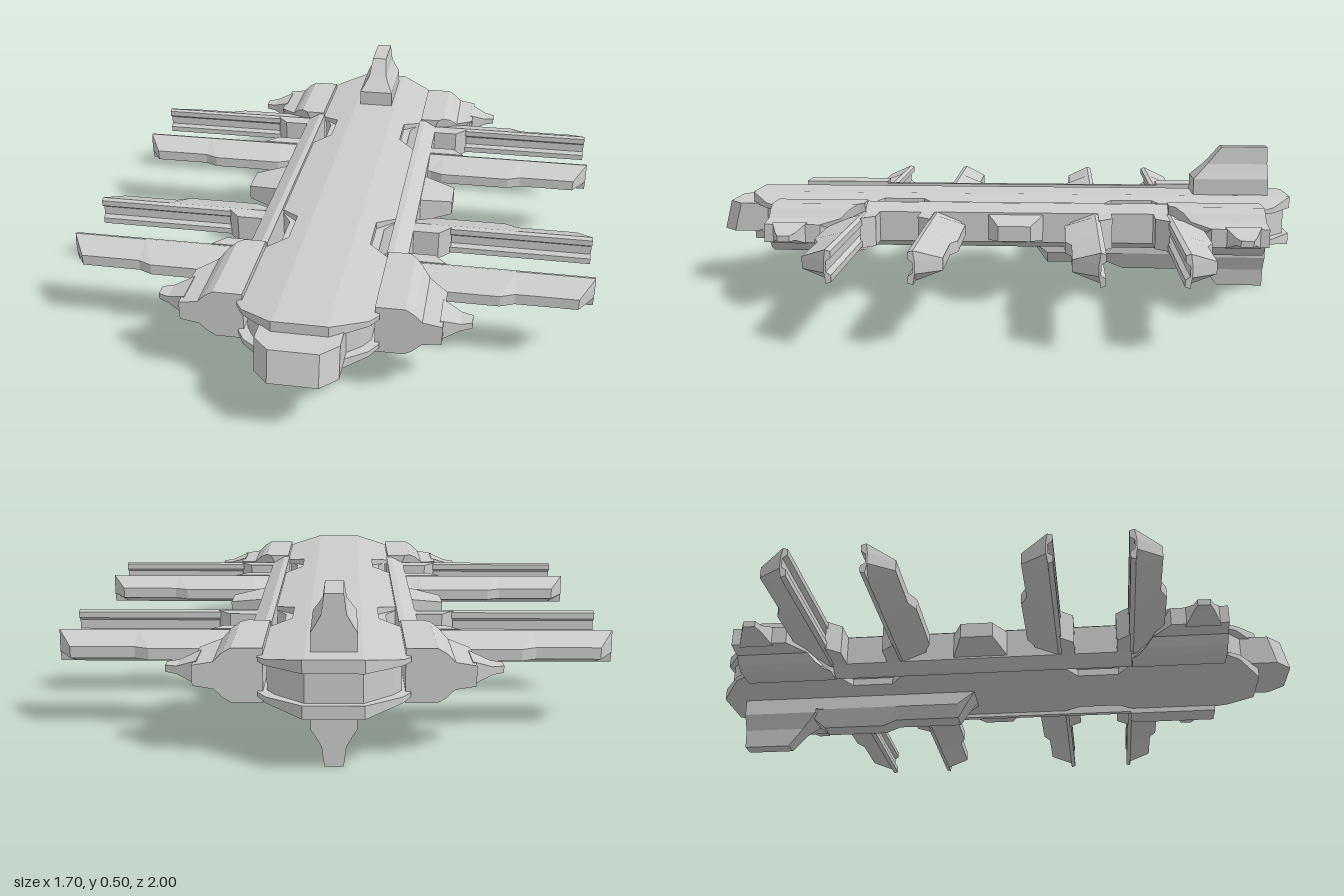
import * as THREE from 'three';

const MID = -0.055; // fore/aft symmetry plane of the station
const material = new THREE.MeshStandardMaterial({ color: 0xcccccc, flatShading: true });

// Closed faceted solid through equal-length 2D sections; place(u, v, i) puts a section point in space
function loft(name, sections, place) {
  const flat = sections.map(s => s.map(([u, v]) => new THREE.Vector2(u, v)));
  if (THREE.ShapeUtils.area(flat[0]) < 0) flat.forEach(s => s.reverse());
  const rings = flat.map((s, i) => s.map(p => new THREE.Vector3(...place(p.x, p.y, i))));
  const tris = [], n = rings[0].length, last = rings.length - 1;
  for (let i = 0; i < last; i++) {
    for (let j = 0; j < n; j++) {
      const k = (j + 1) % n;
      const a = rings[i][j], b = rings[i][k], c = rings[i + 1][k], d = rings[i + 1][j];
      tris.push([a, b, c], [a, c, d]);
    }
  }
  for (const [a, b, c] of THREE.ShapeUtils.triangulateShape(flat[0], [])) {
    tris.push([rings[0][a], rings[0][c], rings[0][b]]);
  }
  for (const [a, b, c] of THREE.ShapeUtils.triangulateShape(flat[last], [])) {
    tris.push([rings[last][a], rings[last][b], rings[last][c]]);
  }
  // Turn the faces outward whichever way the part was mirrored
  let volume = 0;
  for (const [a, b, c] of tris) volume += a.dot(b.clone().cross(c));
  if (volume < 0) tris.forEach(t => t.reverse());
  const geometry = new THREE.BufferGeometry().setFromPoints(tris.flat());
  geometry.computeVertexNormals();
  const mesh = new THREE.Mesh(geometry, material);
  mesh.name = name;
  return mesh;
}

const rect = (u0, v0, u1, v1) => [[u0, v0], [u1, v0], [u1, v1], [u0, v1]];

// Hull stations: distance from MID and half width, mirrored fore and aft
function stations(half) {
  return [...half.map(([d, w]) => [MID - d, w]), ...half.slice().reverse().map(([d, w]) => [MID + d, w])];
}

function hull(group) {
  const plate = stations([[0.945, 0.085], [0.87, 0.19], [0.83, 0.215], [0.515, 0.2],
    [0.465, 0.135], [0.325, 0.135], [0.265, 0.2]]);
  const core = stations([[0.925, 0.08], [0.85, 0.165], [0.81, 0.19], [0.515, 0.19],
    [0.465, 0.162], [0.325, 0.162], [0.265, 0.2]]);
  const top = x => 0.335 - 0.2 * Math.max(0, x - 0.08);
  const section = w => [[0.08, 0.335], [w, top(w)], [w, 0.295], [-w, 0.295], [-w, top(w)], [-0.08, 0.335]];
  for (const s of [1, -1]) {
    group.add(loft(s > 0 ? 'upperHullPlate' : 'lowerHullPlate', plate.map(([, w]) => section(w)),
      (x, y, i) => [x, 0.25 + s * (y - 0.25), plate[i][0]]));
  }
  group.add(loft('hullCore', core.map(([, w]) => rect(-w, 0.2, w, 0.3)), (x, y, i) => [x, y, core[i][0]]));
}

// Long bevelled rail along each flank
function sideRail(sx) {
  const section = [[0.195, 0.325], [0.215, 0.325], [0.26, 0.3], [0.26, 0.2], [0.215, 0.175], [0.195, 0.175]];
  return loft('sideRail', [section, section], (x, y, i) => [sx * x, y, MID + (i ? 0.51 : -0.51)]);
}

// Tapered docking stub in the middle of each flank
function sideStub(sx) {
  const xs = [0.25, 0.37];
  return loft('sideStub', [rect(-0.095, 0.205, 0.095, 0.295), rect(-0.053, 0.225, 0.053, 0.275)],
    (z, y, i) => [sx * xs[i], y, MID + z]);
}

// Corner pod: vertical profile swept fore and aft, inner end cut on the diagonal
function cornerPod(sx, sz) {
  const pod = new THREE.Group();
  pod.name = 'cornerPod';
  const upper = [[0.2, 0.33], [0.29, 0.33], [0.315, 0.315], [0.34, 0.29], [0.4, 0.28]];
  const section = [...upper, ...upper.map(([x, y]) => [x, 0.5 - y]).reverse()];
  // An extra point at the start of the diagonal keeps the cut straight
  section.splice(1, 0, [0.27, 0.33]);
  section.splice(section.length - 1, 0, [0.27, 0.17]);
  const inner = x => 0.51 + 0.125 * Math.max(0, (x - 0.27) / 0.13);
  pod.add(loft('podBody', [section, section],
    (x, y, i) => [sx * x, y, MID + sz * (i ? 0.82 : inner(x))]));
  const xs = [0.39, 0.45, 0.485];
  pod.add(loft('podTip', [rect(0.68, 0.215, 0.795, 0.285), rect(0.705, 0.238, 0.77, 0.262),
    rect(0.715, 0.24, 0.755, 0.26)], (z, y, i) => [sx * xs[i], y, MID + sz * z]));
  return pod;
}

// Grooved arm with a wedge back; side chooses which side of the bracket it lies on
function arm(sx, sz, side) {
  const steps = [[0.24, 0.095], [0.27, 0.095], [0.315, 0.115], [0.56, 0.115], [0.605, 0.095], [0.8, 0.095], [0.85, 0.02]];
  const section = d => [[0, 0.205], [0.015, 0.2], [d, 0.232], [d, 0.268], [0.015, 0.3], [0, 0.295],
    [0, 0.275], [0.014, 0.265], [0.014, 0.235], [0, 0.225]];
  return loft('arm', steps.map(([, d]) => section(d)),
    (d, y, i) => [sx * steps[i][0], y, MID + sz * (0.39 + side * (0.11 + d))]);
}

// Block that ties an arm to the rail
function armBracket(sx, sz, side) {
  const plan = [[0.2, 0.115], [0.385, 0.115], [0.345, 0.07], [0.2, 0.07]];
  return loft('armBracket', [plan, plan],
    (x, d, i) => [sx * x, i ? 0.3 : 0.2, MID + sz * (0.39 + side * d)]);
}

// Stepped fin with a raked front; s = -1 hangs it below the hull
function fin(s) {
  const levels = [[0.32, 0.065, -0.67], [0.39, 0.065, -0.67], [0.41, 0.052, -0.69],
    [0.44, 0.035, -0.72], [0.5, 0.027, -0.77]];
  return loft(s > 0 ? 'upperFin' : 'lowerFin', levels.map(([, w, z]) => rect(-w, -0.928, w, z)),
    (x, z, i) => [x, 0.25 + s * (levels[i][0] - 0.25), z]);
}

// Keel running forward from the lower fin
function keel() {
  const steps = [[-0.1, 0.165], [-0.16, 0.08], [-0.38, 0.08], [-0.43, 0.06], [-0.64, 0.06], [-0.72, 0.13]];
  return loft('keel', steps.map(([, y]) => [[-0.065, 0.18], [-0.065, Math.max(y, 0.12)], [-0.035, y],
    [0.035, y], [0.065, Math.max(y, 0.12)], [0.065, 0.18]]), (x, y, i) => [x, y, steps[i][0]]);
}

// Chamfered nose block with a raked face
function nose() {
  const plan = [[-0.125, 0.8], [0.125, 0.8], [0.125, 0.95], [0.075, 1], [-0.075, 1], [-0.125, 0.95]];
  return loft('nose', [plan, plan], (x, z, i) => [x, i ? 0.3 : 0.2, i && z > 0.9 ? z - 0.025 : z]);
}

export function createModel() {
  const group = new THREE.Group();
  group.name = 'spaceStation';
  hull(group);
  group.add(nose(), keel(), fin(1), fin(-1));
  for (const sx of [1, -1]) {
    group.add(sideRail(sx), sideStub(sx));
    for (const sz of [1, -1]) {
      group.add(cornerPod(sx, sz));
      for (const side of [1, -1]) group.add(arm(sx, sz, side), armBracket(sx, sz, side));
    }
  }
  return group;
}
